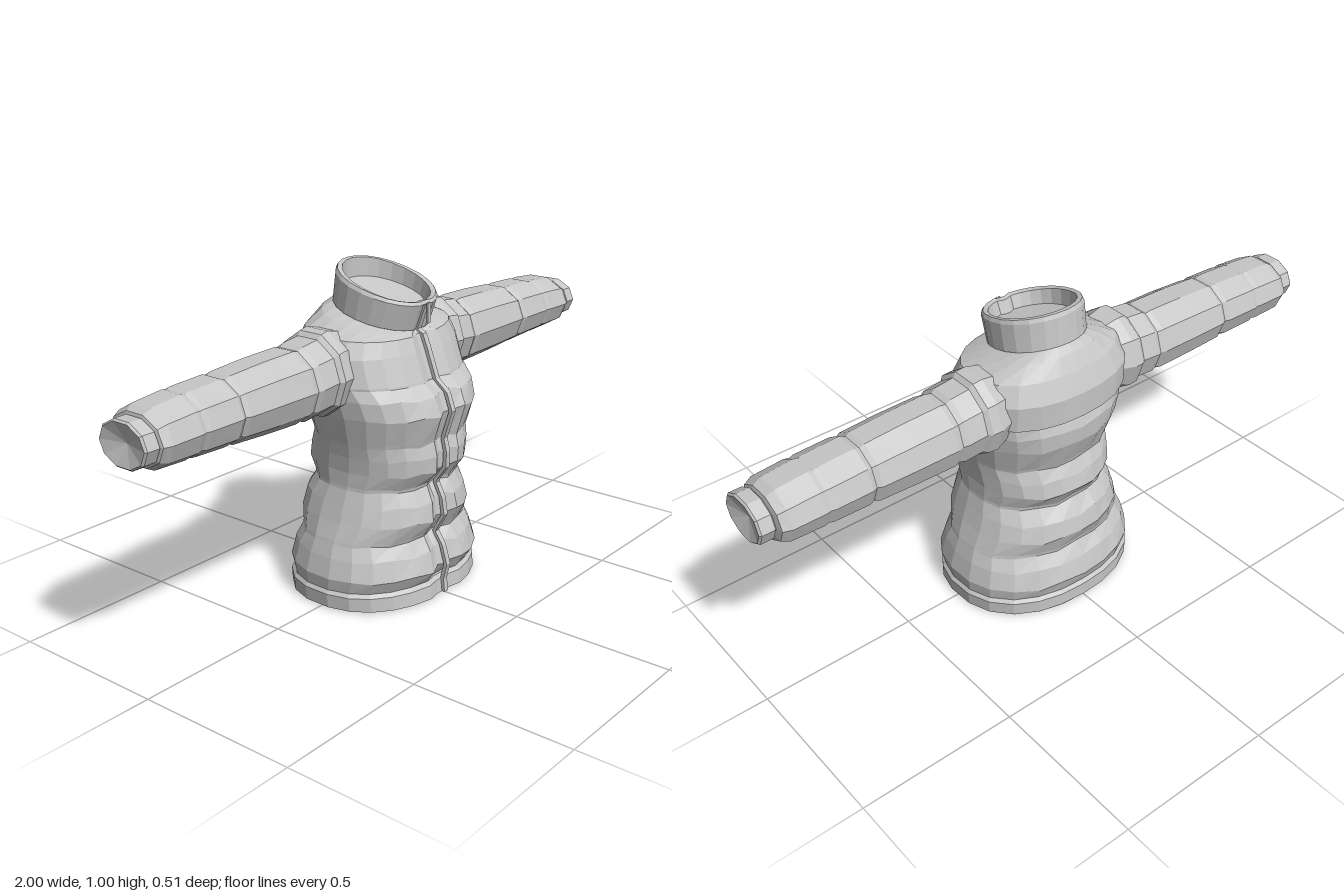
import * as THREE from 'three';

const fabric = new THREE.MeshStandardMaterial({ color: 0xc6c6c6, flatShading: true });
fabric.name = 'grey fabric';

// Column angles around the body, from front centre to the back, then mirrored
const HALF = [0, 4, 11, 24, 38, 53, 68, 84, 100, 117, 135, 152, 167];
const ANGLES = [...HALF, 180, ...HALF.slice(1).reverse().map(a => 360 - a)].map(a => a * Math.PI / 180);

// Skin a list of equal rings; optional apex points close the ends with fans
function loft(name, rings, startApex, endApex) {
  const pos = [];
  const tri = (...pts) => pts.forEach(p => pos.push(p.x, p.y, p.z));
  const n = rings[0].length;
  for (let j = 0; j < n; j++) {
    const k = (j + 1) % n;
    for (let i = 0; i < rings.length - 1; i++) {
      const a = rings[i], b = rings[i + 1];
      tri(a[j], a[k], b[k]);
      tri(a[j], b[k], b[j]);
    }
    const last = rings[rings.length - 1];
    if (startApex) tri(rings[0][k], rings[0][j], startApex);
    if (endApex) tri(last[j], last[k], endApex);
  }
  const geo = new THREE.BufferGeometry();
  geo.setAttribute('position', new THREE.Float32BufferAttribute(pos, 3));
  geo.computeVertexNormals();
  const mesh = new THREE.Mesh(geo, fabric);
  mesh.name = name;
  return mesh;
}

const power = (v, p) => Math.sign(v) * Math.abs(v) ** p;

// Horizontal ring: mid height, front-to-back tilt, half width, front z, back z
function bodyRing([y, tilt, w, zf, zb], dip = 0.02, pucker = 0, p = 0.88) {
  return ANGLES.map((t, j) => {
    const s = Math.sin(t), c = Math.cos(t);
    const nearZip = j < 2 || j === ANGLES.length - 1;
    const wave = pucker * Math.sin(j * 2.4 + y * 37);
    return new THREE.Vector3(
      w * power(s, p),
      y - tilt * c + wave * Math.abs(c),
      (zf + zb) / 2 + (zf - zb) / 2 * power(c, p) - (nearZip ? dip : 0));
  });
}

// Ring across a sleeve: x, top y, bottom y, front z, back z
function sleeveRing([x, yt, yb, zf, zb], sides = 10) {
  return Array.from({ length: sides }, (_, j) => {
    const t = (j + 0.5) / sides * Math.PI * 2;
    const k = 1 / Math.cos(Math.PI / sides);
    return new THREE.Vector3(x,
      (yt + yb) / 2 + (yt - yb) / 2 * Math.cos(t) * k,
      (zf + zb) / 2 + (zf - zb) / 2 * Math.sin(t));
  });
}

const HEM = [
  [0.008, 0, 0.305, 0.235, -0.25], [0.012, 0, 0.312, 0.243, -0.253],
  [0.055, 0, 0.315, 0.238, -0.253], [0.066, 0, 0.306, 0.226, -0.243],
];
// Padded bands swell at front and back and pinch at the seams
const BODY = [
  [0.066, 0, 0.306, 0.226, -0.243], [0.105, 0, 0.311, 0.25, -0.257],
  [0.165, 0, 0.295, 0.232, -0.24], [0.205, 0, 0.281, 0.205, -0.213],
  [0.215, 0, 0.278, 0.21, -0.215], [0.265, 0, 0.258, 0.237, -0.236],
  [0.32, 0, 0.24, 0.228, -0.224], [0.365, 0, 0.226, 0.205, -0.19],
  [0.375, 0, 0.225, 0.208, -0.192], [0.42, 0, 0.224, 0.24, -0.221],
  [0.47, 0, 0.229, 0.242, -0.21], [0.51, 0, 0.236, 0.232, -0.19],
  [0.52, 0, 0.238, 0.235, -0.193], [0.6, 0, 0.255, 0.26, -0.224],
  [0.655, 0, 0.265, 0.24, -0.228], [0.688, 0, 0.27, 0.2, -0.217],
];
const YOKE = [
  [0.688, 0, 0.27, 0.2, -0.217], [0.695, 0, 0.275, 0.198, -0.232],
  [0.775, 0, 0.272, 0.168, -0.232], [0.828, 0.01, 0.245, 0.15, -0.205],
  [0.855, 0.03, 0.18, 0.138, -0.178], [0.87, 0.04, 0.125, 0.125, -0.152],
];
const COLLAR = [
  [0.86, 0.04, 0.13, 0.122, -0.15], [0.868, 0.038, 0.142, 0.13, -0.16],
  [0.95, 0.044, 0.142, 0.158, -0.15], [0.961, 0.045, 0.136, 0.153, -0.144],
  [0.959, 0.045, 0.122, 0.138, -0.13], [0.91, 0.035, 0.118, 0.122, -0.13],
];
const SLEEVE = [
  [0.2, 0.84, 0.62, 0.07, -0.16], [0.255, 0.853, 0.6, 0.085, -0.178],
  [0.285, 0.848, 0.602, 0.088, -0.175], [0.298, 0.835, 0.612, 0.076, -0.165],
  [0.36, 0.828, 0.606, 0.074, -0.162], [0.376, 0.818, 0.612, 0.066, -0.156],
  [0.395, 0.823, 0.608, 0.072, -0.162], [0.52, 0.82, 0.612, 0.073, -0.163],
  [0.645, 0.812, 0.618, 0.07, -0.16], [0.66, 0.804, 0.626, 0.062, -0.152],
  [0.675, 0.811, 0.62, 0.07, -0.159], [0.79, 0.806, 0.624, 0.07, -0.16],
  [0.805, 0.802, 0.628, 0.066, -0.156], [0.82, 0.805, 0.625, 0.07, -0.159],
  [0.92, 0.796, 0.628, 0.068, -0.156], [0.945, 0.782, 0.64, 0.058, -0.145],
  [0.95, 0.765, 0.655, 0.04, -0.115],
];
const CUFF = [
  [0.945, 0.765, 0.655, 0.04, -0.115], [0.954, 0.777, 0.648, 0.055, -0.127],
  [0.994, 0.777, 0.648, 0.055, -0.127], [1, 0.772, 0.653, 0.049, -0.121],
];

const mirrorRing = ring => ring.map(p => new THREE.Vector3(-p.x, p.y, p.z)).reverse();

export function createModel() {
  const jacket = new THREE.Group();
  jacket.name = 'paddedJacket';

  // Torso and collar, with hollow-looking openings
  jacket.add(loft('hemBand', HEM.map(r => bodyRing(r, 0.012)), new THREE.Vector3(0, 0.15, 0)));
  jacket.add(loft('quiltedBody', BODY.map((r, i) =>
    bodyRing(r, 0.02, i === 0 || i === BODY.length - 1 ? 0 : 0.005))));
  jacket.add(loft('shoulderYoke', YOKE.map(r => bodyRing(r, 0.015))));
  jacket.add(loft('collar', COLLAR.map(r => bodyRing(r, 0.008, 0, 0.96)), null,
    new THREE.Vector3(0, 0.9, 0)));

  // Sleeves and cuffs
  for (const side of [1, -1]) {
    const label = side > 0 ? 'left' : 'right';
    const place = rows => rows.map(r => side > 0 ? sleeveRing(r) : mirrorRing(sleeveRing(r)));
    const arm = new THREE.Group();
    arm.name = label + 'Arm';
    arm.add(loft(label + 'Sleeve', place(SLEEVE)));
    arm.add(loft(label + 'Cuff', place(CUFF), null, new THREE.Vector3(side * 0.98, 0.7125, -0.036)));
    jacket.add(arm);
  }

  // Zip strip follows the front centre line up to the collar rim
  const line = [...HEM.slice(1, 3), ...BODY.slice(1), ...YOKE.slice(2, 5), ...COLLAR.slice(1, 3)]
    .map(([y, tilt, , zf]) => [y - tilt, zf - 0.008]);
  const strip = line.map(([y, z]) => [[-1, 1], [1, 1], [1, -1], [-1, -1]]
    .map(([sx, sz]) => new THREE.Vector3(sx * 0.009, y, z + sz * 0.006)));
  jacket.add(loft('zipStrip', strip));

  const pull = new THREE.Mesh(new THREE.BoxGeometry(0.014, 0.06, 0.006), fabric);
  pull.name = 'zipPull';
  pull.position.set(0.004, 0.88, 0.158);
  jacket.add(pull);

  return jacket;
}
